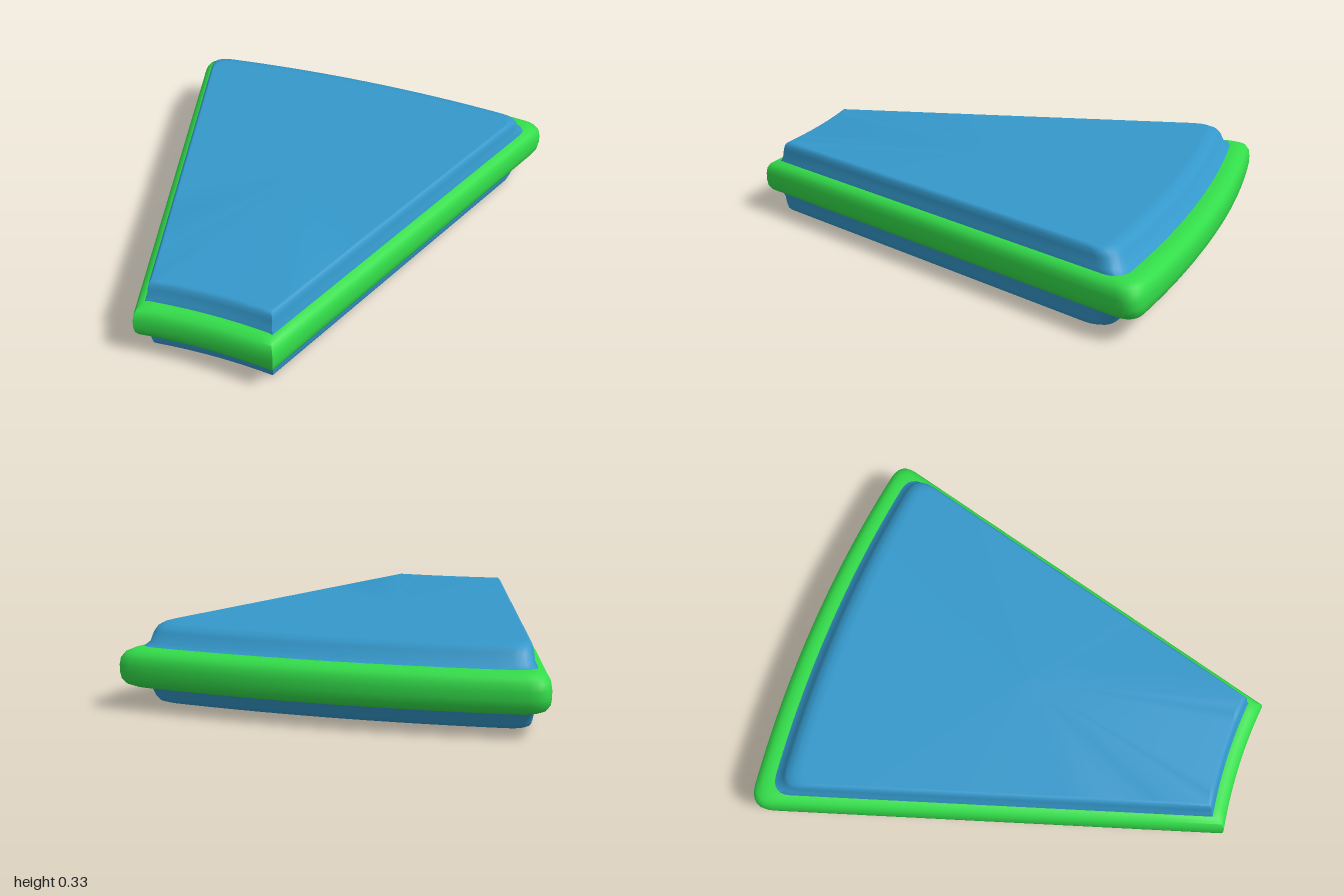
import * as THREE from 'three';
import { toCreasedNormals } from 'three/addons/utils/BufferGeometryUtils.js';

const MID = 0.1635;

// Wedge outline in the xz plane, pulled in at the sides, back and front.
function outline(side, back, front) {
  const left = (z) => -0.862 + 0.288 * (z + 0.9) + side;
  const right = (z) => 0.870 - 0.318 * (z + 0.9) - side;
  const backZ = (x) => -1 + back + 0.09 * x * x + 0.01 * x;
  const frontZ = (x) => 0.97 - front + 0.22 * (x + 0.02) ** 2 + 0.01 * x;
  const corner = (edge, arc) => {
    let z = arc(0);
    for (let i = 0; i < 8; i++) z = arc(edge(z));
    return new THREE.Vector2(edge(z), z);
  };
  const bl = corner(left, backZ), br = corner(right, backZ);
  const fr = corner(right, frontZ), fl = corner(left, frontZ);
  const v = (x, z) => new THREE.Vector2(x, z);
  const r = 0.085;
  const pts = [];
  // rounded back corners with the convex arc between them
  const startL = v(left(bl.y + r), bl.y + r), endL = v(bl.x + r, backZ(bl.x + r));
  const startR = v(br.x - r, backZ(br.x - r)), endR = v(right(br.y + r), br.y + r);
  pts.push(...new THREE.QuadraticBezierCurve(startL, bl, endL).getPoints(6));
  for (let i = 1; i < 24; i++) {
    const x = THREE.MathUtils.lerp(endL.x, startR.x, i / 24);
    pts.push(v(x, backZ(x)));
  }
  pts.push(...new THREE.QuadraticBezierCurve(startR, br, endR).getPoints(6));
  // straight sides and the concave front arc
  for (let i = 1; i < 8; i++) pts.push(endR.clone().lerp(fr, i / 8));
  for (let i = 0; i <= 12; i++) {
    const x = THREE.MathUtils.lerp(fr.x, fl.x, i / 12);
    pts.push(v(x, frontZ(x)));
  }
  for (let i = 1; i < 8; i++) pts.push(fl.clone().lerp(startL, i / 8));
  return pts;
}

// Closed solid through stacked outlines; rows are [y, side, back, front].
function loft(rows) {
  const pos = [], index = [];
  let n = 0;
  for (const [y, s, b, f] of rows) {
    const pts = outline(s, b, f);
    n = pts.length;
    for (const p of pts) pos.push(p.x, y, p.y);
  }
  const last = (rows.length - 1) * n, bottom = rows.length * n, top = bottom + 1;
  pos.push(0, rows[0][0], 0, 0, rows[rows.length - 1][0], 0);
  for (let i = 0; i < n; i++) {
    const k = (i + 1) % n;
    for (let j = 0; j < last; j += n) {
      const a = j + i, b = j + k, c = a + n, d = b + n;
      index.push(a, c, b, b, c, d);
    }
    index.push(bottom, i, k, top, last + k, last + i);
  }
  const g = new THREE.BufferGeometry();
  g.setAttribute('position', new THREE.Float32BufferAttribute(pos, 3));
  g.setIndex(index);
  return toCreasedNormals(g, THREE.MathUtils.degToRad(55));
}

// Upper half of a profile, from top to middle, mirrored about mid height.
function mirrored(half, insets) {
  const up = half.map(([h, t]) => [MID + h, ...insets(t)]).reverse();
  const down = half.map(([h, t]) => [MID - h, ...insets(t)]);
  return [...down, ...up];
}

function part(name, color, rows) {
  const mesh = new THREE.Mesh(loft(rows), new THREE.MeshStandardMaterial({ color }));
  mesh.name = name;
  return mesh;
}

export function createModel() {
  const group = new THREE.Group();
  group.name = 'wedgeTile';

  // thick core with a softly bevelled rim, wider at the back
  const core = [[0.1635, 1.1], [0.1635, 1], [0.161, 0.8], [0.15, 0.55],
    [0.13, 0.4], [0.092, 0.25], [0.076, 0]];
  group.add(part('core', 0x3498cb,
    mirrored(core, (t) => [0.045 + 0.03 * t, 0.085 + 0.115 * t, 0.06 + 0.035 * t])));

  // rounded band around the edge
  const band = [[0.078, 0.075], [0.078, 0.06], [0.074, 0.038], [0.062, 0.016],
    [0.042, 0.004], [0.015, 0]];
  group.add(part('edgeBand', 0x33dd4a, mirrored(band, (t) => [t, t, t])));

  return group;
}
